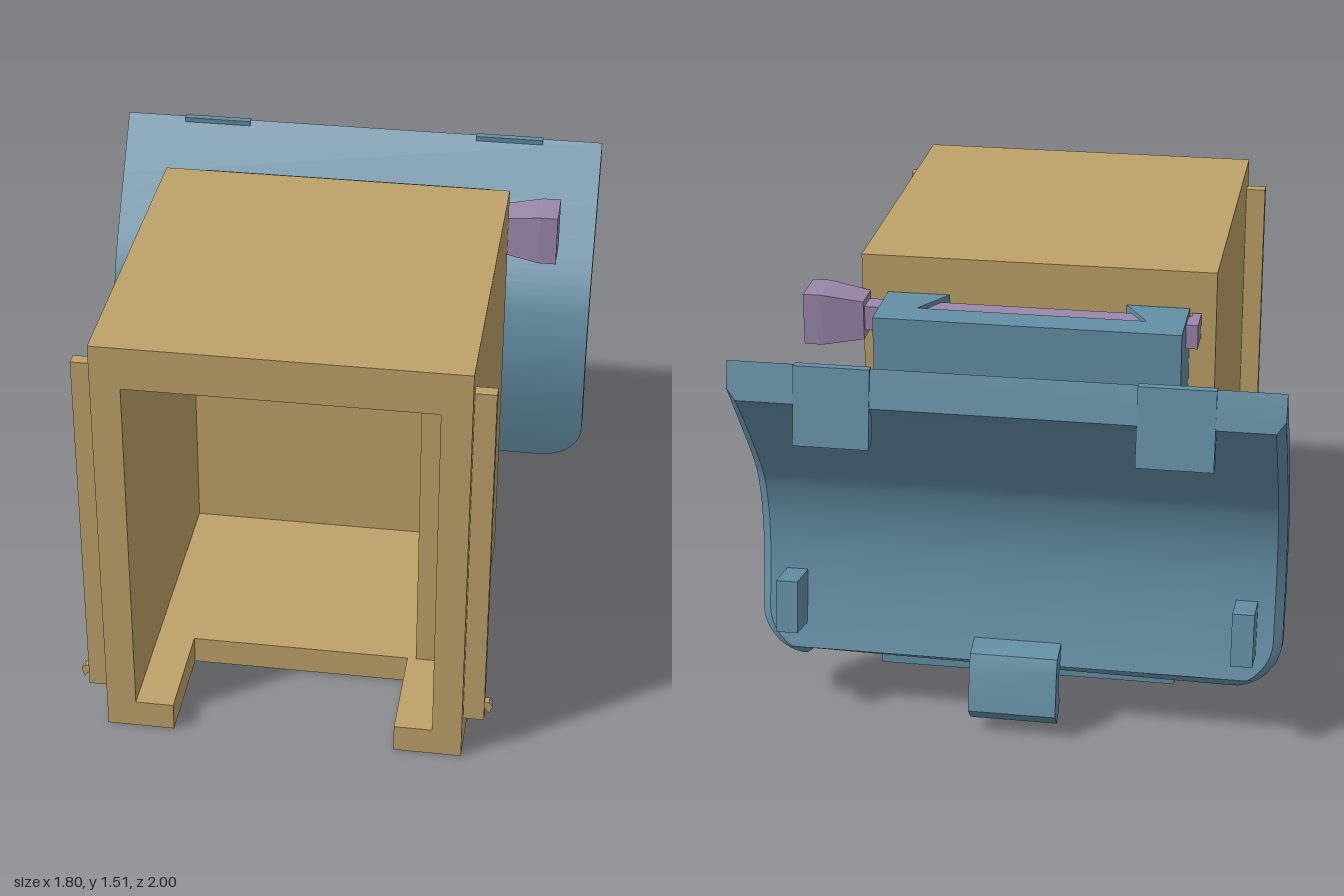
import * as THREE from 'three';
import { toCreasedNormals } from 'three/addons/utils/BufferGeometryUtils.js';

const mat = (name, color) => Object.assign(new THREE.MeshStandardMaterial({ color }), { name });

// Extrude a 2D outline from a to b along an axis.
// axis z: points are (x, y); axis x: points are (z, y); axis y: points are (x, z)
function prism(points, a, b, axis = 'z', hole) {
  const toV = (list) => list.map(([u, v]) => new THREE.Vector2(u, v));
  const shape = new THREE.Shape(toV(points));
  if (hole) shape.holes.push(new THREE.Path(toV(hole)));
  const g = new THREE.ExtrudeGeometry(shape, { depth: b - a, bevelEnabled: false });
  g.translate(0, 0, axis === 'z' ? a : -b);
  if (axis === 'x') g.rotateY(-Math.PI / 2);
  if (axis === 'y') g.rotateX(Math.PI / 2);
  return toCreasedNormals(g, 0.6);
}

function box(x0, x1, y0, y1, z0, z1) {
  return new THREE.BoxGeometry(x1 - x0, y1 - y0, z1 - z0)
    .translate((x0 + x1) / 2, (y0 + y1) / 2, (z0 + z1) / 2);
}

const rect = (x0, x1, y0, y1) => [[x0, y0], [x1, y0], [x1, y1], [x0, y1]];

// Rectangle outline with quarter-round corners
function roundedRect(x0, x1, y0, y1, r) {
  const centres = rect(x0 + r, x1 - r, y0 + r, y1 - r);
  return centres.flatMap(([cx, cy], c) => Array.from({ length: 7 }, (_, i) => {
    const angle = (c + 2 + i / 6) * Math.PI / 2;
    return [cx + r * Math.cos(angle), cy + r * Math.sin(angle)];
  }));
}

// Curved plate with rounded lower corners and a chamfered rear edge
function curvedPlateGeometry() {
  const curve = new THREE.SplineCurve([
    [-0.635, 0.177], [-0.592, 0.32], [-0.553, 0.5], [-0.54, 0.64],
    [-0.555, 0.78], [-0.61, 0.93], [-0.77, 1.155], [-0.94, 1.38],
  ].map(([z, y]) => new THREE.Vector2(z, y)));
  const corner = 0.16, inset = 0.03, tMin = 0.03;
  const ts = [];
  for (let i = 0; i < 10; i++) ts.push((1 - Math.cos((i / 10) * Math.PI / 2)) * 0.16);
  for (let i = 0; i <= 24; i++) ts.push(0.16 + (i / 24) * 0.72);
  ts.push(1);
  const width = (y) => {
    const k = Math.max(0, corner - (y - 0.177));
    return 0.9 - corner + Math.sqrt(Math.max(0, corner * corner - k * k));
  };
  const offset = (t, d) => {
    const p = curve.getPoint(t), n = curve.getTangent(t);
    return [p.x - n.y * d, p.y + n.x * d];
  };
  const pos = [], idx = [];
  ts.forEach((t, r) => {
    const f = curve.getPoint(t), w = width(f.y);
    const top = r === ts.length - 1;
    const [mz, my] = top ? [-0.968, 1.295] : offset(t, 0.075);
    const [bz, by] = top ? [-0.975, 1.255] : offset(Math.max(t, tMin), 0.097);
    const v = w - inset;
    pos.push(w, f.y, f.x, -w, f.y, f.x, -w, my, mz, -v, by, bz, v, by, bz, w, my, mz);
    if (r) for (let j = 0; j < 6; j++) {
      const a = (r - 1) * 6 + j, b = (r - 1) * 6 + (j + 1) % 6;
      idx.push(b, a, a + 6, b, a + 6, b + 6);
    }
  });
  const last = (ts.length - 1) * 6;
  for (let j = 1; j < 5; j++) idx.push(0, j, j + 1, last, last + j + 1, last + j);
  const g = new THREE.BufferGeometry();
  g.setAttribute('position', new THREE.Float32BufferAttribute(pos, 3));
  g.setIndex(idx);
  return toCreasedNormals(g, 0.4);
}

export function createModel() {
  const tan = mat('tan plastic', 0xbda168);
  const blue = mat('slate blue plastic', 0x648fa5);
  const purple = mat('muted purple plastic', 0x9a87aa);
  const model = new THREE.Group();
  const group = (name) => {
    const g = new THREE.Group();
    g.name = name;
    model.add(g);
    return g;
  };
  const add = (parent, name, geometry, material) => {
    const m = new THREE.Mesh(geometry, material);
    m.name = name;
    parent.add(m);
  };

  // Housing: wide mouth with a notched floor, narrower cavity, back wall
  const housing = group('housing');
  add(housing, 'housingMouth', prism([
    [-0.61, 0], [-0.38, 0], [-0.38, 0.1], [-0.51, 0.1], [-0.51, 1.36], [0.51, 1.36],
    [0.51, 0.1], [0.38, 0.1], [0.38, 0], [0.61, 0], [0.61, 1.51], [-0.61, 1.51],
  ], 0.62, 1), tan);
  add(housing, 'housingCavity',
    prism(rect(-0.61, 0.61, 0, 1.51), -0.15, 0.62, 'z', rect(-0.51, 0.41, 0.1, 1.13)), tan);
  add(housing, 'housingBack', box(-0.61, 0.61, 0, 1.51, -0.25, -0.15), tan);
  add(housing, 'dovetail',
    prism([[-0.29, -0.25], [0.29, -0.25], [0.375, -0.385], [-0.375, -0.385]], 0.26, 1.27, 'y'), tan);

  // Side rails with a small pointed catch at the foot
  for (const s of [-1, 1]) {
    const xs = [s * 0.61, s * 0.68].sort((a, b) => a - b);
    add(housing, 'sideRail', box(xs[0], xs[1], 0.13, 1.42, 0.914, 0.957), tan);
    add(housing, 'railCatch',
      prism([[s * 0.675, 0.2], [s * 0.675, 0.18], [s * 0.698, 0.155], [s * 0.707, 0.185], [s * 0.695, 0.2]],
        0.922, 0.95), tan);
  }

  // Mount block with the dovetail slot, closed at the bottom
  const mount = group('mount');
  add(mount, 'slottedBlock', prism([
    [-0.52, -0.255], [-0.305, -0.255], [-0.39, -0.393], [0.39, -0.393],
    [0.305, -0.255], [0.52, -0.255], [0.52, -0.505], [-0.52, -0.505],
  ], 0.25, 1.38, 'y'), blue);
  add(mount, 'blockFoot', box(-0.52, 0.52, 0.07, 0.25, -0.505, -0.255), blue);
  add(mount, 'neck', prism(roundedRect(-0.45, 0.45, 0.4, 1.02, 0.04), -0.61, -0.5), blue);

  // Curved plate with its hooks and clips
  const plate = group('curvedPlate');
  add(plate, 'plate', curvedPlateGeometry(), blue);
  const tab = [[-0.953, 1.38], [-1, 1.12], [-0.957, 1.12], [-0.935, 1.22], [-0.925, 1.38]];
  const clip = [[-0.62, 0.49], [-0.8, 0.52], [-0.83, 0.34], [-0.69, 0.31], [-0.64, 0.34]];
  for (const s of [-1, 1]) {
    add(plate, 'topTab', prism(tab, s * 0.555 - 0.125, s * 0.555 + 0.125, 'x'), blue);
    add(plate, 'sideClip', prism(clip, s * 0.775 - 0.037, s * 0.775 + 0.037, 'x'), blue);
  }
  add(plate, 'bottomLatch', prism([
    [-0.65, 0.3], [-0.69, 0.305], [-0.78, 0.285], [-0.8, 0.24], [-0.833, 0.09], [-0.79, 0.043],
    [-0.74, 0.075], [-0.73, 0.11], [-0.75, 0.125], [-0.74, 0.21], [-0.7, 0.225], [-0.67, 0.2],
  ], -0.15, 0.15, 'x'), blue);

  // Locking pin: bar through the mount, end hook, flared knob
  const pin = group('lockingPin');
  add(pin, 'pinBar', box(-0.56, 0.58, 1.28, 1.365, -0.37, -0.29), purple);
  add(pin, 'pinHook', box(-0.56, -0.53, 1.28, 1.365, -0.29, -0.258), purple);
  const knob = new THREE.BoxGeometry(0.205, 0.18, 0.15, 2, 1, 1);
  const p = knob.attributes.position;
  for (let i = 0; i < p.count; i++) {
    if (p.getX(i) < -0.05) p.setXYZ(i, p.getX(i), p.getY(i) * 0.75, p.getZ(i) * 0.78);
    else if (p.getX(i) < 0.05) p.setX(i, 0.04);
  }
  add(pin, 'pinKnob', toCreasedNormals(knob.translate(0.68, 1.32, -0.328), 0.1), purple);

  return model;
}
